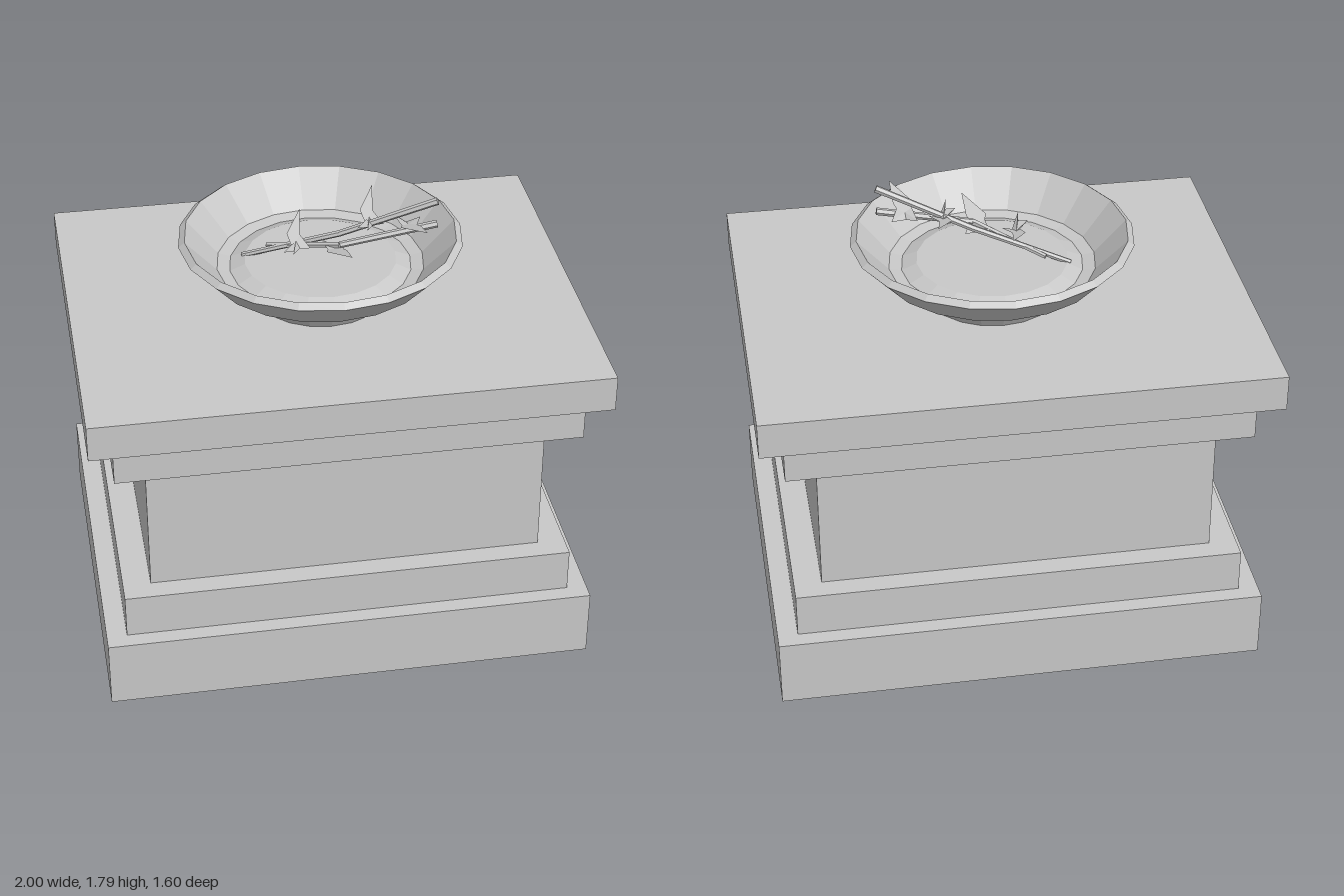
import * as THREE from 'three';

export function createModel() {
  const model = new THREE.Group();
  const stone = new THREE.MeshStandardMaterial({
    color: 0xc8c8c8, flatShading: true, side: THREE.DoubleSide,
  });
  stone.name = 'grey stone';

  const add = (name, geometry, parent = model) => {
    const mesh = new THREE.Mesh(geometry, stone);
    mesh.name = name;
    parent.add(mesh);
    return mesh;
  };

  // Stepped pedestal: name, width, depth, bottom, top
  const tiers = [
    ['plinth', 1.94, 1.55, 0, 0.28],
    ['lowerStep', 1.78, 1.42, 0.28, 0.46],
    ['pedestalBody', 1.56, 1.25, 0.46, 1.035],
    ['upperStep', 1.81, 1.46, 1.035, 1.2],
    ['topSlab', 2, 1.6, 1.2, 1.345],
  ];
  for (const [name, width, depth, bottom, top] of tiers) {
    add(name, new THREE.BoxGeometry(width, top - bottom, depth)).position.y = (bottom + top) / 2;
  }

  // Faceted bowl: outside, rim, inner wall, ledge and raised floor
  const profile = [
    [0.265, 1.345], [0.3, 1.4], [0.455, 1.485], [0.56, 1.6], [0.535, 1.62],
    [0.41, 1.485], [0.36, 1.475], [0.3, 1.5], [0, 1.5],
  ].map(([r, y]) => new THREE.Vector2(r, y));
  add('bowl', new THREE.LatheGeometry(profile, 20));

  // Twigs made of straight tapered pieces
  const twigs = new THREE.Group();
  twigs.name = 'twigs';
  model.add(twigs);
  const paths = [
    [[-0.3, 1.495, -0.08], [0.07, 1.62, 0.03], [0.44, 1.78, 0.12]],
    [[-0.2, 1.53, -0.08], [0.06, 1.61, 0.1], [0.44, 1.68, 0.12]],
  ];
  const up = new THREE.Vector3(0, 1, 0);
  for (const path of paths) {
    const points = path.map((p) => new THREE.Vector3(...p));
    for (let i = 0; i < points.length - 1; i++) {
      const span = points[i + 1].clone().sub(points[i]);
      const piece = add('twig', new THREE.CylinderGeometry(
        0.013 + 0.002 * i, 0.011 + 0.002 * i, span.length(), 6), twigs);
      piece.position.copy(points[i]).addScaledVector(span, 0.5);
      piece.quaternion.setFromUnitVectors(up, span.normalize());
    }
  }

  // Jagged leaves: x, z outlines fanned from a centre, with tips bent upwards
  const leaves = new THREE.Group();
  leaves.name = 'leaves';
  model.add(leaves);
  const outlines = [
    { centre: [-0.1, 0.02], edge: [[-0.06, -0.14], [-0.08, -0.01], [-0.05, 0.07], [-0.09, 0.06],
      [-0.13, 0.15], [-0.12, 0.1], [-0.16, 0.1], [-0.12, 0.05], [-0.13, -0.02]] },
    { centre: [0.04, 0.1], edge: [[0.08, 0.27], [0, 0.15], [0.01, 0.12], [0, 0.02],
      [0.04, 0.06], [0.1, 0.04], [0.07, 0.12], [0.08, 0.15]] },
  ];
  const leafGeometry = ({ centre, edge }) => {
    const bend = ([x, z]) => [x, 1.585 + 0.31 * Math.abs(z - 0.06), z];
    const positions = edge.flatMap((p, i) =>
      [...bend(centre), ...bend(p), ...bend(edge[(i + 1) % edge.length])]);
    const geometry = new THREE.BufferGeometry();
    geometry.setAttribute('position', new THREE.Float32BufferAttribute(positions, 3));
    // Wind every leaf so that it faces up
    geometry.computeVertexNormals();
    if (geometry.attributes.normal.getY(0) < 0) {
      geometry.setIndex(edge.flatMap((_, i) => [3 * i, 3 * i + 2, 3 * i + 1]));
      geometry.computeVertexNormals();
    }
    return geometry;
  };
  for (const outline of outlines) {
    for (const k of [0, 1]) {
      add('leaf', leafGeometry(outline), leaves).position.set(0.29 * k, 0.08 * k, 0);
    }
  }

  return model;
}
